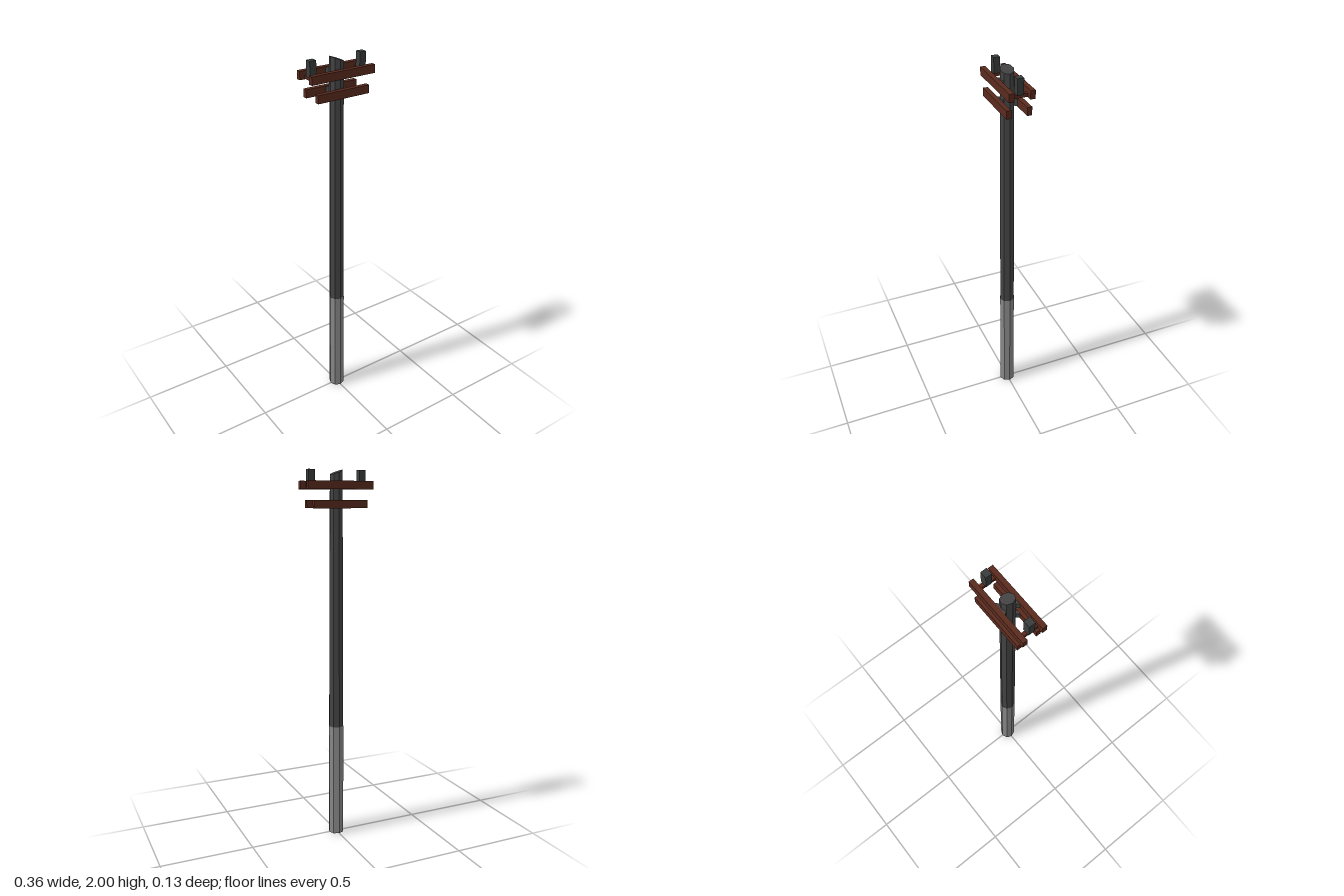
import * as THREE from 'three';

const paint = (color) => new THREE.MeshStandardMaterial({ color, flatShading: true });

export function createModel() {
  const model = new THREE.Group();
  const tar = paint(0x444444), concrete = paint(0x888888);
  const timber = paint(0x5a2a1e), ceramic = paint(0x3a3d3c);

  const add = (name, geometry, material, x, y, z) => {
    const mesh = new THREE.Mesh(geometry, material);
    mesh.name = name;
    mesh.position.set(x, y, z);
    model.add(mesh);
  };

  // Lower, lighter part of the octagonal pole
  add('poleBase', new THREE.CylinderGeometry(0.042, 0.043, 0.63, 8), concrete, 0, 0.315, 0);

  // Tapered shaft whose top is cut at a slant, high on the right
  const shaft = new THREE.CylinderGeometry(0.035, 0.0415, 1.37, 8);
  const p = shaft.attributes.position;
  for (let i = 0; i < p.count; i++) {
    if (p.getY(i) > 0) p.setY(i, 0.685 - (p.getX(i) + 0.035) * 0.38);
  }
  shaft.computeVertexNormals();
  add('poleShaft', shaft, tar, 0, 1.315, 0);

  // Paired crossarms, and flared brackets that join them to the pole
  const flare = new THREE.Shape([
    new THREE.Vector2(-0.022, 0.025), new THREE.Vector2(0.022, 0.025),
    new THREE.Vector2(0.036, 0.041), new THREE.Vector2(-0.036, 0.041),
  ]);
  const bracket = new THREE.ExtrudeGeometry(flare, { depth: 0.036, bevelEnabled: false });
  bracket.translate(0, 0, -0.018).rotateX(Math.PI / 2);
  for (const [name, y, length] of [['upper', 1.922, 0.364], ['lower', 1.827, 0.296]]) {
    for (const side of [1, -1]) {
      add(name + 'Crossarm', new THREE.BoxGeometry(length, 0.042, 0.025), timber, 0, y, side * 0.0525);
      const half = bracket.clone();
      if (side < 0) half.rotateY(Math.PI);
      add(name + 'Bracket', half, tar, 0, y, 0);
    }
  }

  // Insulators standing on short ties between the upper crossarms
  for (const side of [1, -1]) {
    const x = side * 0.143;
    add('tie', new THREE.BoxGeometry(0.019, 0.018, 0.082), timber, x, 1.912, 0);
    add('insulator', new THREE.BoxGeometry(0.036, 0.08, 0.033), ceramic, x, 1.96, 0);
  }
  return model;
}
